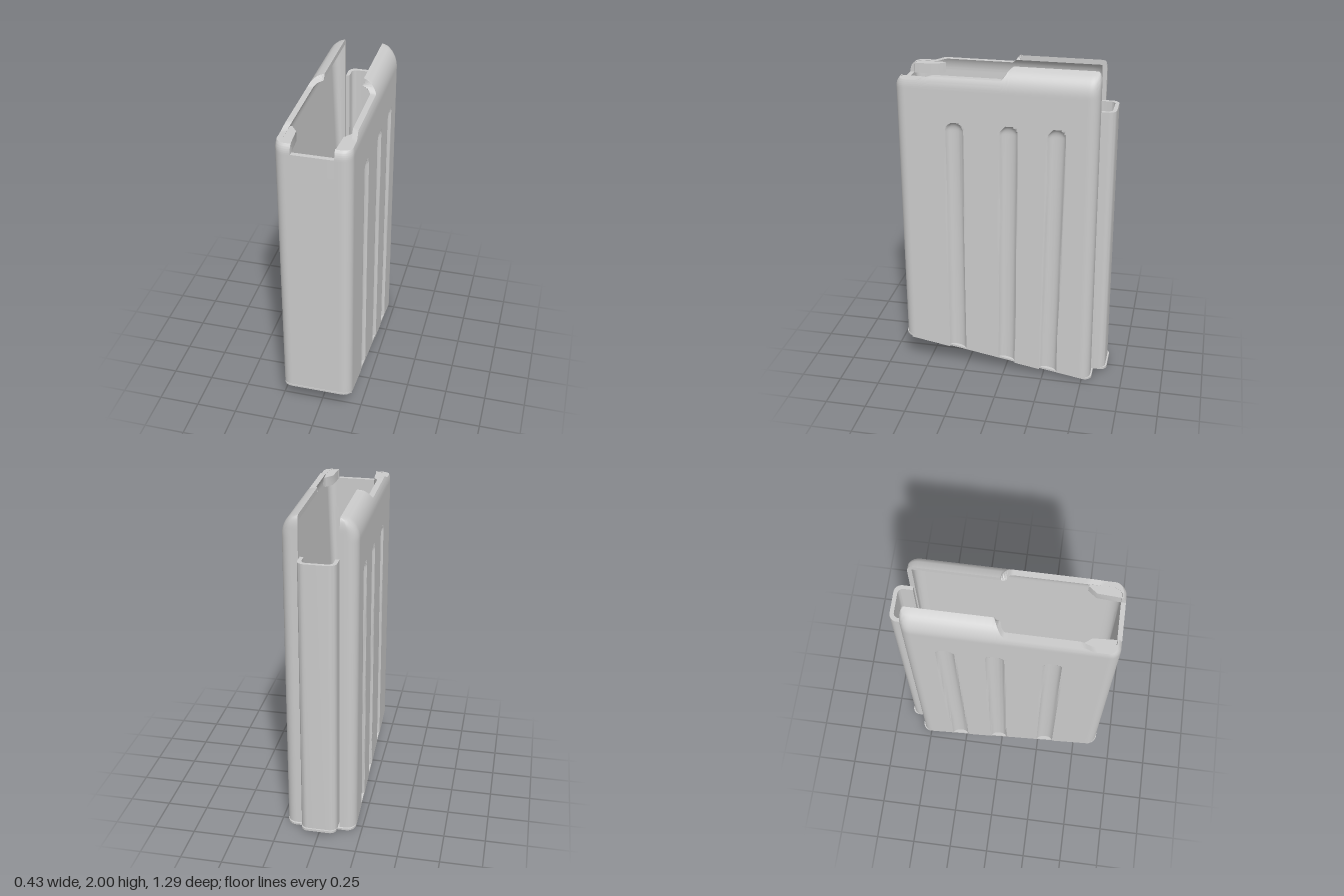
import * as THREE from 'three';
import { toCreasedNormals } from 'three/addons/utils/BufferGeometryUtils.js';

const { clamp, lerp, smoothstep } = THREE.MathUtils;
const HALF = 0.215, SLOT = 0.115, ZC = 0.045, HALF_Z = 0.595, SLOPE = 0.169;

const bottomAt = (z) => 0.215 - (0.64 - z) * SLOPE;
const arc = (t) => 1 - Math.sqrt(1 - clamp(t, 0, 1) ** 2);

// Rim height: tall feed lips behind, lower sides, a notch in the front wall
function rimAt(x, z) {
  if (z > 0.5 && Math.abs(x) < 0.12) return 1.86;
  return 2 - 0.062 * smoothstep(z, -0.045, 0.02) - 0.023 * smoothstep(z, 0.43, 0.52);
}

// Half outline of the body, from the rear slot round to the front centre
function outline() {
  const r = 0.06, pts = [];
  for (const x of [SLOT, 0.135]) pts.push([x, ZC - HALF_Z]);
  const corner = (zc, a0) => {
    for (let i = 0; i <= 8; i++) {
      const a = a0 + (i / 8) * Math.PI / 2;
      pts.push([HALF - r + r * Math.cos(a), zc + r * Math.sin(a)]);
    }
  };
  const zBack = ZC - HALF_Z + r, zFront = ZC + HALF_Z - r;
  corner(zBack, -Math.PI / 2);
  for (let i = 1; i < 130; i++) pts.push([HALF, lerp(zBack, zFront, i / 130)]);
  corner(zFront, 0);
  for (const x of [0.14, 0.1205, 0.1195, 0.06, 0]) pts.push([x, ZC + HALF_Z]);
  return pts.concat(pts.slice(0, -1).reverse().map(([x, z]) => [-x, z]));
}

// Moves the outer part of the width towards the slot line, to a new half width
function squeeze(x, half) {
  const a = Math.abs(x);
  if (a <= SLOT) return x;
  return Math.sign(x) * (SLOT + (a - SLOT) * (half - SLOT) / (HALF - SLOT));
}

// Pressed grooves: z at the top end and lean towards the bottom
const GROOVES = [[0.29, 0.004], [-0.035, 0.01], [-0.315, 0.017]];
function grooveDepth(y, z) {
  let depth = 0;
  for (const [zTop, lean] of GROOVES) {
    const d = Math.hypot(z - zTop - (1.67 - y) * lean, Math.max(0, y - 1.62)) / 0.05;
    if (d < 1) depth = 0.026 * Math.sqrt(1 - d * d);
  }
  return depth;
}

function outerPoint(x, z, y) {
  let px = squeeze(x, HALF - 0.1 * arc((y - 1.87) / 0.13));
  if (Math.abs(x) > HALF - 1e-4) px -= Math.sign(x) * grooveDepth(y, z);
  const end = Math.abs((z - ZC) / HALF_Z) ** 8;
  const curl = z > ZC ? -0.035 * arc((y - 1.86) / 0.06) : 0.02 * arc((y - 1.93) / 0.07);
  return [px, y, z + end * curl];
}

function innerPoint(x, z, y) {
  const half = lerp(0.12, 0.185, clamp((y - 0.1) / 1.77, 0, 1)) - 0.07 * arc((y - 1.87) / 0.1);
  return [squeeze(x, half), y, ZC + (z - ZC) * 0.955];
}

// Rows of the wall, fine at the groove ends and the curled rim
function wallHeight(row, low, high) {
  if (row <= 6) return lerp(low, 1.58, row / 6);
  if (row <= 18) return lerp(1.58, 1.69, (row - 6) / 12);
  return lerp(1.85, high, (row - 19) / 12);
}
const ROWS = 31;

function grid(nu, nv, point, flip = false) {
  const pos = [], index = [];
  for (let j = 0; j <= nv; j++) for (let i = 0; i <= nu; i++) pos.push(...point(i, j));
  for (let j = 0; j < nv; j++) {
    for (let i = 0; i < nu; i++) {
      const a = j * (nu + 1) + i, b = a + 1, c = a + nu + 1, d = c + 1;
      if (flip) index.push(a, b, c, b, d, c);
      else index.push(a, c, b, b, c, d);
    }
  }
  const g = new THREE.BufferGeometry();
  g.setAttribute('position', new THREE.Float32BufferAttribute(pos, 3));
  g.setIndex(index);
  return toCreasedNormals(g, 0.6);
}

// Extrudes a plan shape (x, z) upwards from y = 0
function extrudeUp(points, height) {
  const shape = new THREE.Shape(points.map(([x, z]) => new THREE.Vector2(x, z)));
  const g = new THREE.ExtrudeGeometry(shape, { depth: height, bevelEnabled: false });
  g.rotateX(Math.PI / 2).translate(0, height, 0);
  return toCreasedNormals(g, 0.6);
}

// Rear-facing U path for the spine
function uPath(half, zEnd, r) {
  const pts = [[half, -0.53]];
  for (let i = 0; i <= 8; i++) {
    const a = (i / 8) * Math.PI / 2;
    pts.push([half - r + r * Math.cos(a), zEnd + r - r * Math.sin(a)]);
  }
  return pts.concat(pts.slice().reverse().map(([x, z]) => [-x, z]));
}

export function createModel() {
  const model = new THREE.Group();
  const material = new THREE.MeshStandardMaterial({ color: 0xcccccc, side: THREE.DoubleSide });
  const add = (name, geometry, parent = model) => {
    const mesh = new THREE.Mesh(geometry, material);
    mesh.name = name;
    parent.add(mesh);
    return mesh;
  };

  // Body shell: outer wall, inner wall and the edges that join them
  const body = new THREE.Group();
  body.name = 'body';
  model.add(body);
  const path = outline(), n = path.length - 1;
  const outer = (i, j) => {
    const [x, z] = path[i];
    return outerPoint(x, z, wallHeight(j, bottomAt(z), rimAt(x, z)));
  };
  const inner = (i, j) => {
    const [x, z] = path[i];
    return innerPoint(x, z, wallHeight(j, bottomAt(z), Math.min(1.97, rimAt(x, z))));
  };
  add('outerWall', grid(n, ROWS, outer), body);
  add('innerWall', grid(n, ROWS, inner, true), body);
  add('rim', grid(n, 1, (i, j) => (j ? inner(i, ROWS) : outer(i, ROWS))), body);
  for (const [name, i] of [['leftSlotEdge', 0], ['rightSlotEdge', n]]) {
    add(name, grid(1, ROWS, (k, j) => (k ? inner(i, j) : outer(i, j)), i === 0), body);
  }

  // Ledges in the front corners of the opening
  for (const s of [1, -1]) {
    const pts = [[0.122, 0.612], [0.18, 0.605], [0.188, 0.57], [0.185, 0.44], [0.168, 0.43], [0.13, 0.48]];
    const ledge = add(s > 0 ? 'leftLedge' : 'rightLedge', extrudeUp(pts.map(([x, z]) => [s * x, z]), 0.06));
    ledge.position.y = 1.853;
  }

  // Slanted floor plate
  const r = 0.055, plate = [];
  [[1, 1], [-1, 1], [-1, -1], [1, -1]].forEach(([sx, sz], q) => {
    for (let i = 0; i <= 6; i++) {
      const a = (q + i / 6) * Math.PI / 2;
      plate.push([sx * (0.212 - r) + r * Math.cos(a), 0.043 + sz * (0.602 - r) + r * Math.sin(a)]);
    }
  });
  const floor = extrudeUp(plate, 0.012);
  const p = floor.attributes.position;
  for (let i = 0; i < p.count; i++) p.setY(i, p.getY(i) + bottomAt(p.getZ(i)) - 0.011);
  floor.computeVertexNormals();
  add('floorPlate', floor);

  // Folded tabs that hold the floor plate
  for (const s of [1, -1]) {
    for (const [z0, z1] of [[0.35, 0.6], [-0.23, -0.07]]) {
      const z = (z0 + z1) / 2;
      const tab = add('floorTab', new THREE.BoxGeometry(0.036, 0.016, (z1 - z0) * 1.014));
      tab.position.set(s * 0.194, bottomAt(z) - 0.012, z);
      tab.rotation.x = -Math.atan(SLOPE);
    }
  }

  // Hollow rear spine with a closed foot
  const channel = uPath(0.11, -0.635, 0.045).concat(uPath(0.088, -0.612, 0.03).reverse());
  add('spine', extrudeUp(channel, 1.725)).position.y = 0.035;
  add('spineFoot', extrudeUp(uPath(0.108, -0.645, 0.04), 0.014)).position.y = 0.03;

  return model;
}
